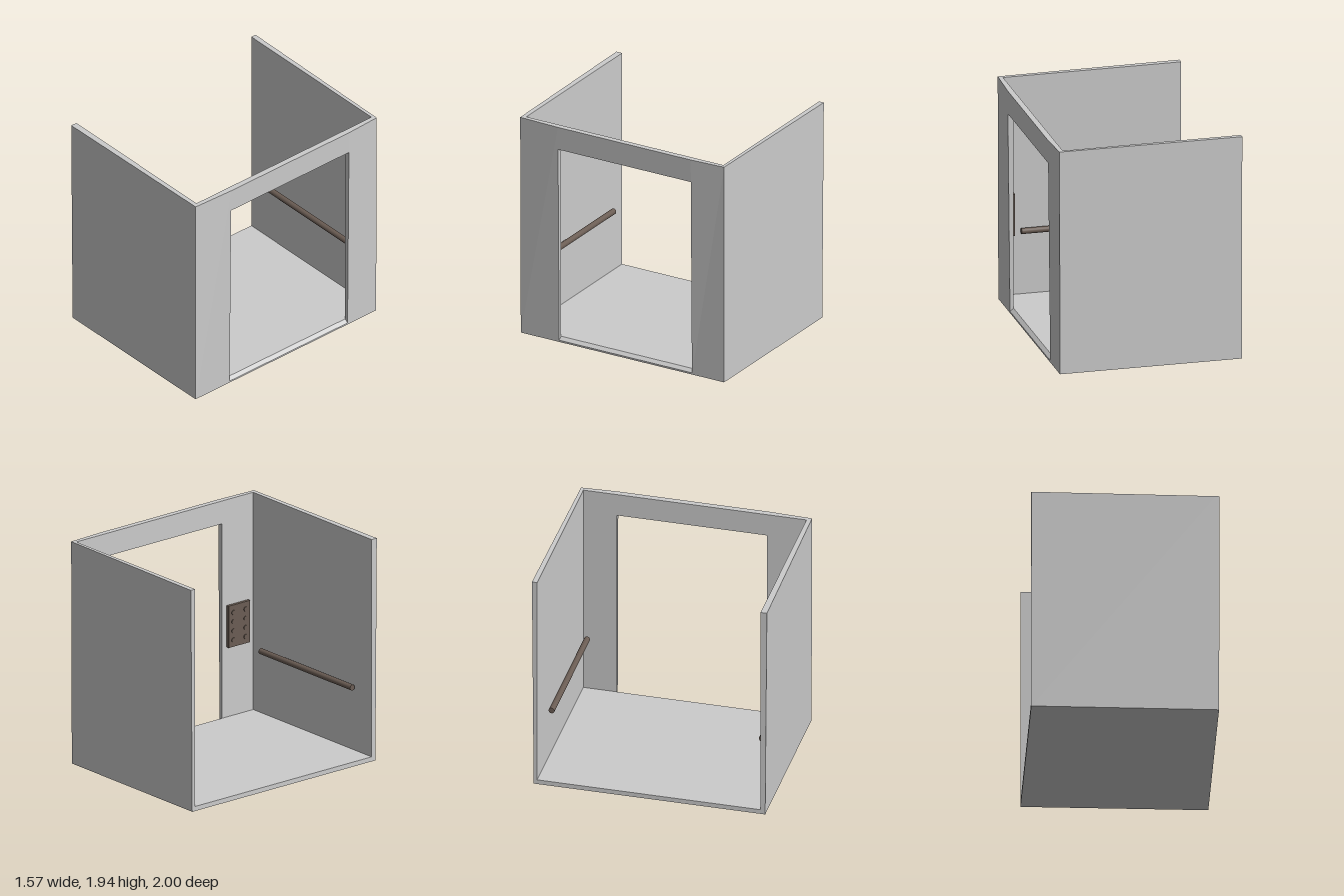
import * as THREE from 'three';

const H = 1.94, BACK = -0.79, INNER = 0.73;
const Z0 = -0.955, Z1 = 0.945; // inner faces of the side walls
const D0 = -0.67, D1 = 0.61; // doorway sides
const DOOR_TOP = 1.74, FLOOR = 0.04, SILL = 0.015;

const grey = new THREE.MeshStandardMaterial({ color: 0xcccccc, flatShading: true });
const brown = new THREE.MeshStandardMaterial({ color: 0x6b5d54 });

// Outer skin leans slightly outward towards the top; the inner faces stay straight
function flare(v) {
  const t = v.y / H, u = (v.x - BACK) / 1.555, x = v.x;
  const corner = Math.abs(v.z) > 0.97;
  if (x > 0.75) v.x = 0.76 + (corner ? 0.005 : 0.02) * t;
  if (corner) v.z = Math.sign(v.z) * (0.985 - 0.005 * u + t * (0.015 - 0.012 * u));
}

// Box between two corners
function box(name, [x0, y0, z0], [x1, y1, z1], material = grey, rule = null) {
  const g = new THREE.BoxGeometry(x1 - x0, y1 - y0, z1 - z0);
  g.translate((x0 + x1) / 2, (y0 + y1) / 2, (z0 + z1) / 2);
  if (rule) {
    const p = g.attributes.position, v = new THREE.Vector3();
    for (let i = 0; i < p.count; i++) {
      v.fromBufferAttribute(p, i);
      rule(v);
      p.setXYZ(i, v.x, v.y, v.z);
    }
    g.computeVertexNormals();
  }
  const mesh = new THREE.Mesh(g, material);
  mesh.name = name;
  return mesh;
}

export function createModel() {
  const model = new THREE.Group();
  model.name = 'elevatorCar';

  // Floor and side walls
  model.add(
    box('floor', [BACK, 0, Z0], [INNER, FLOOR, Z1]),
    box('backSideWall', [BACK, 0, -1], [INNER, H, Z0], grey, flare),
    box('frontSideWall', [BACK, 0, Z1], [INNER, H, 1], grey, flare),
  );

  // Door wall: two piers, lintel and sloping threshold
  const doorWall = new THREE.Group();
  doorWall.name = 'doorWall';
  doorWall.add(
    box('backPier', [INNER, 0, -1], [0.78, H, D0], grey, flare),
    box('frontPier', [INNER, 0, D1], [0.78, H, 1], grey, flare),
    box('lintel', [INNER, DOOR_TOP, D0], [0.78, H, D1], grey, flare),
    box('threshold', [INNER, 0, D0], [0.78, FLOOR, D1], grey, (v) => {
      if (v.x > 0.75 && v.y > 0.01) v.y = SILL;
      flare(v);
    }),
  );
  model.add(doorWall);

  // Handrails along the side walls
  for (const [name, z] of [['backHandrail', -0.885], ['frontHandrail', 0.905]]) {
    const rail = new THREE.Mesh(new THREE.CylinderGeometry(0.025, 0.025, 1.175, 24), brown);
    rail.rotation.z = Math.PI / 2;
    rail.position.set(-0.003, 0.6, z);
    rail.name = name;
    model.add(rail);
  }

  // Control panel beside the doorway, with buttons facing inward
  const panel = new THREE.Group();
  panel.name = 'controlPanel';
  panel.add(box('panelPlate', [0.703, 0.65, 0.66], [INNER, 1.015, 0.89], brown));
  const buttonGeometry = new THREE.CylinderGeometry(0.02, 0.02, 0.008, 16);
  for (let row = 0; row < 4; row++) {
    for (const z of [0.71, 0.84]) {
      const button = new THREE.Mesh(buttonGeometry, brown);
      button.rotation.z = Math.PI / 2;
      button.position.set(0.7, 0.71 + row * 0.08, z);
      button.name = 'button';
      panel.add(button);
    }
  }
  model.add(panel);

  return model;
}
